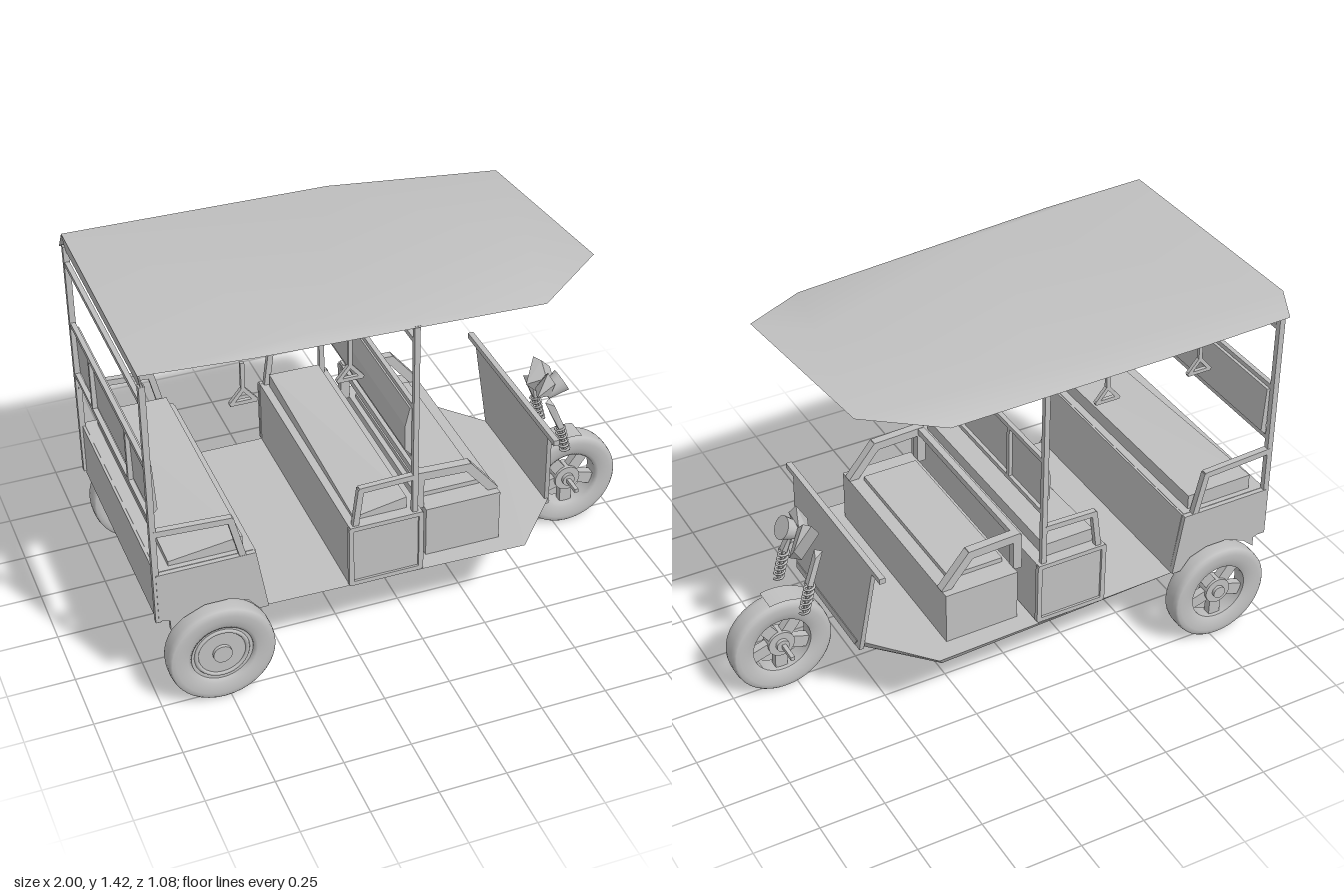
import * as THREE from 'three';
import { ConvexGeometry } from 'three/addons/geometries/ConvexGeometry.js';

const grey = new THREE.MeshStandardMaterial({ color: 0xc0c0c0, side: THREE.DoubleSide });
grey.name = 'plainGrey';
const V = (p) => new THREE.Vector3(...p);

function add(parent, name, geometry, pos = [0, 0, 0]) {
  const m = new THREE.Mesh(geometry, grey);
  m.name = name;
  m.position.set(...pos);
  parent.add(m);
  return m;
}
// box given by its min and max corners
function box(parent, name, a, b) {
  return add(parent, name, new THREE.BoxGeometry(b[0] - a[0], b[1] - a[1], b[2] - a[2]),
    a.map((v, i) => (v + b[i]) / 2));
}
// square bar between two points
function bar(parent, name, a, b, t = 0.02) {
  const A = V(a), B = V(b);
  const m = add(parent, name, new THREE.BoxGeometry(t, t, A.distanceTo(B) + t * 0.5));
  m.position.copy(A).add(B).multiplyScalar(0.5);
  m.lookAt(B);
  return m;
}
function bars(parent, name, pts, t) {
  for (let i = 1; i < pts.length; i++) bar(parent, name, pts[i - 1], pts[i], t);
}
const hull = (parent, name, pts) => add(parent, name, new ConvexGeometry(pts.map(V)));
// flat x-y outline, extruded across z and centred at z
function plate(parent, name, pts, depth, z) {
  const s = new THREE.Shape(pts.map((p) => new THREE.Vector2(...p)));
  return add(parent, name, new THREE.ExtrudeGeometry(s, { depth, bevelEnabled: false }), [0, 0, z - depth / 2]);
}

function wheel(parent, name, x, z, solid, hw) {
  const g = new THREE.Group();
  g.name = name;
  g.position.set(x, 0.2, z);
  g.rotation.x = Math.PI / 2;
  parent.add(g);
  const half = [[0.115, 0.7], [0.128, 0.86], [0.15, 0.97], [0.172, 1], [0.188, 0.95], [0.195, 0.8], [0.198, 0.4]];
  const profile = [...half.map(([r, y]) => [r, -y]), ...half.slice().reverse(), [0.115, -0.7]];
  add(g, 'tyre', new THREE.LatheGeometry(profile.map(([r, y]) => new THREE.Vector2(r, y * hw)), 40));
  const cyl = (n, r, h) => add(g, n, new THREE.CylinderGeometry(r, r, h, 24));
  if (solid) {
    cyl('rimDisc', 0.118, hw * 1.1);
    const ring = add(g, 'rimRing', new THREE.TorusGeometry(0.095, 0.008, 6, 32), [0, hw * 0.55, 0]);
    ring.rotation.x = Math.PI / 2;
    cyl('hub', 0.035, hw * 1.7);
  } else {
    cyl('hub', 0.052, hw * 1.2);
    cyl('hubCap', 0.025, hw * 1.8);
    for (let i = 0; i < 5; i++) {
      const a = (i * Math.PI * 2) / 5 + 0.3;
      const s = add(g, 'spoke', new THREE.BoxGeometry(0.08, hw * 0.7, 0.048), [Math.cos(a) * 0.078, 0, Math.sin(a) * 0.078]);
      s.rotation.y = -a;
    }
  }
}

export function createModel() {
  const g = new THREE.Group();
  g.name = 'threeWheeledPassengerCart';

  // Wheels and axles
  wheel(g, 'rearWheel', -0.775, 0.497, true, 0.043);
  wheel(g, 'rearWheel', -0.775, -0.497, false, 0.043);
  wheel(g, 'frontWheel', 0.802, 0.008, false, 0.047);
  bar(g, 'rearAxle', [-0.775, 0.205, -0.48], [-0.775, 0.208, 0.48], 0.024);
  bar(g, 'frontAxle', [0.8, 0.2, -0.11], [0.8, 0.2, 0.12], 0.016);

  // Roof: one thin folded sheet, sloping to the front with a lip on the far side and rear
  const roof = new THREE.BufferGeometry();
  roof.setAttribute('position', new THREE.Float32BufferAttribute([
    [-1, 1.41, 0.5], [-0.6, 1.39, 0.508], [0.45, 1.338, 0.475], [0.71, 1.38, 0.3], [0.645, 1.378, -0.39],
    [0.36, 1.328, -0.522], [-0.6, 1.333, -0.512], [-1, 1.34, -0.505],
    [-1, 1.42, -0.45], [0, 1.405, -0.46], [0.53, 1.388, 0.15], [-0.35, 1.402, 0.44],
  ].flat(), 3));
  roof.setIndex([
    0, 1, 11, 1, 2, 11, 2, 10, 11, 2, 3, 10, 3, 4, 10, 4, 9, 10, 4, 5, 9,
    5, 6, 9, 6, 8, 9, 6, 7, 8, 8, 0, 11, 8, 11, 9, 9, 11, 10,
  ]);
  roof.computeVertexNormals();
  add(g, 'roof', roof);
  hull(g, 'roofRearLip', [[-1, 1.41, 0.5], [-1, 1.42, -0.45], [-0.992, 1.405, 0.49], [-0.992, 1.41, -0.45],
    [-0.975, 1.34, 0.48], [-0.975, 1.34, -0.48], [-0.985, 1.335, -0.48], [-0.985, 1.335, 0.48]]);

  // Floor pan
  hull(g, 'floor', [
    [-0.61, 0.33, -0.48], [-0.61, 0.33, 0.48], [0.4, 0.325, 0.5], [0.4, 0.32, -0.5], [0.61, 0.32, 0.26], [0.61, 0.32, -0.26],
    [-0.57, 0.305, -0.45], [-0.57, 0.305, 0.45], [0.3, 0.29, 0.36], [0.38, 0.287, -0.48], [0.61, 0.29, 0.24], [0.61, 0.287, -0.24],
  ]);

  // Cross frames behind each bench
  for (const [x, top] of [[-0.985, 1.285], [-0.03, 1.3]]) {
    for (const y of [top, 1.03, 0.81]) bar(g, 'crossRail', [x, y, -0.475], [x, y, 0.475], 0.018);
    for (const z of [-0.23, 0.23]) bar(g, 'backUpright', [x, 0.81, z], [x, 1.03, z], 0.018);
  }
  hull(g, 'rearBackrest', [
    [-0.98, 1.02, -0.46], [-0.98, 1.02, 0.46], [-0.965, 1.02, -0.46], [-0.965, 1.02, 0.46],
    [-0.975, 0.82, -0.46], [-0.975, 0.82, 0.46], [-0.955, 0.84, -0.46], [-0.955, 0.84, 0.46],
  ]);
  hull(g, 'middleBackrest', [
    [-0.035, 1.02, -0.46], [-0.035, 1.02, 0.46], [-0.045, 1.02, -0.46], [-0.045, 1.02, 0.46],
    [-0.062, 0.95, -0.46], [-0.062, 0.95, 0.46], [-0.062, 0.85, -0.46], [-0.062, 0.85, 0.46],
    [-0.035, 0.82, -0.46], [-0.035, 0.82, 0.46],
  ]);

  for (const s of [-1, 1]) {
    const z = 0.475 * s;
    // Roof posts
    bar(g, 'rearPost', [-0.985, 0.38, z], [-0.985, 1.35, z], 0.022);
    bar(g, 'middlePost', [-0.03, 0.33, z], [-0.03, 1.36, z], 0.02);

    // Hanging grab handles
    for (const x of [-0.645, -0.27]) {
      bar(g, 'handleStrap', [x, 1.265, z], [x, 1.36, z], 0.014);
      bars(g, 'handleLoop', [[x, 1.262, z], [x - 0.043, 1.21, z], [x + 0.043, 1.21, z], [x, 1.262, z]], 0.014);
    }

    // Rear side panel cut around the wheel
    const side = [[-0.985, 0.58], [-0.625, 0.58], [-0.585, 0.33], [-0.62, 0.33], [-0.66, 0.38], [-0.73, 0.405],
      [-0.82, 0.405], [-0.9, 0.37], [-0.945, 0.33], [-0.945, 0.37], [-0.985, 0.385]];
    plate(g, 'rearSidePanel', side, 0.02, 0.478 * s);
    bars(g, 'rearArmrest', [[-0.98, 0.755, z], [-0.71, 0.74, z], [-0.672, 0.58, z]], 0.024);

    // Middle bench side frame and armrest
    const f = 0.486 * s;
    bars(g, 'boxSideFrame', [[-0.275, 0.34, f], [-0.275, 0.58, f], [-0.01, 0.58, f], [-0.01, 0.34, f], [-0.275, 0.34, f]], 0.018);
    bars(g, 'middleArmrest', [[-0.255, 0.59, z], [-0.235, 0.735, z], [-0.04, 0.74, z]], 0.022);

    // Driver armrest
    const d = 0.375 * s;
    bars(g, 'driverArmrest', [[0.025, 0.53, d], [0.025, 0.66, d], [0.215, 0.652, d], [0.315, 0.53, d]], 0.034);
  }

  // Bench cushion, dipping at one rear corner
  const cushion = (name, x0, x1) => hull(g, name, [
    [x0, 0.58, -0.45], [x1, 0.58, -0.45], [x0, 0.58, 0.45], [x1, 0.58, 0.45],
    [x0, 0.642, -0.45], [x1, 0.64, -0.45], [x0, 0.6, 0.45], [x1, 0.635, 0.45]]);

  // Rear bench
  box(g, 'rearPanel', [-0.985, 0.36, -0.47], [-0.97, 0.58, 0.47]);
  hull(g, 'rearBenchFront', [-0.47, 0.47].flatMap((z) =>
    [[-0.64, 0.58, z], [-0.622, 0.58, z], [-0.585, 0.33, z], [-0.603, 0.33, z]]));
  box(g, 'rearBenchDeck', [-0.975, 0.565, -0.47], [-0.63, 0.582, 0.47]);
  cushion('rearCushion', -0.93, -0.66);

  // Middle bench, facing the rear
  box(g, 'middleBenchBox', [-0.28, 0.33, -0.486], [-0.005, 0.588, 0.486]);
  cushion('middleCushion', -0.25, -0.05);

  // Driver seat
  box(g, 'driverSeatBox', [0.04, 0.32, -0.42], [0.33, 0.53, 0.42]);
  box(g, 'driverCushion', [0.06, 0.53, -0.34], [0.28, 0.548, 0.34]);
  bar(g, 'driverBackRail', [0.025, 0.662, -0.385], [0.025, 0.662, 0.385], 0.026);

  // Sloping front shield
  hull(g, 'frontShield', [
    [0.555, 0.675, -0.33], [0.555, 0.675, 0.33], [0.572, 0.675, -0.33], [0.572, 0.675, 0.33],
    [0.592, 0.29, -0.28], [0.592, 0.29, 0.26], [0.61, 0.29, -0.28], [0.61, 0.29, 0.26],
  ]);
  bar(g, 'shieldTopRail', [0.562, 0.668, -0.385], [0.562, 0.668, 0.385], 0.022);

  // Front fork: upper tubes with coil springs
  for (const s of [-1, 1]) {
    const z = 0.112 * s;
    hull(g, 'forkTube', [[0.655, 0.635, z - 0.012 * s], [0.68, 0.64, z - 0.03 * s], [0.69, 0.62, z],
      [0.71, 0.51, z - 0.012], [0.71, 0.51, z + 0.012], [0.73, 0.52, z - 0.012], [0.73, 0.52, z + 0.012]]);
    const coil = [];
    for (let i = 0; i <= 60; i++) {
      const t = i / 60, a = t * Math.PI * 12;
      coil.push(new THREE.Vector3(0.715 + 0.03 * t + 0.018 * Math.cos(a), 0.52 - 0.12 * t, z + 0.018 * Math.sin(a)));
    }
    add(g, 'spring', new THREE.TubeGeometry(new THREE.CatmullRomCurve3(coil), 150, 0.005, 5));
    bar(g, 'springRod', [0.715, 0.52, z], [0.745, 0.4, z], 0.01);
  }

  // Fender crown over the front wheel
  const fender = new THREE.CylinderGeometry(0.21, 0.21, 0.09, 12, 1, true, Math.PI * 0.93, Math.PI * 0.28);
  add(g, 'frontFender', fender, [0.8, 0.2, 0.008]).rotation.x = Math.PI / 2;

  // Headlamp: round barrel and angular shroud
  const lamp = add(g, 'headlamp', new THREE.CylinderGeometry(0.045, 0.03, 0.08, 16), [0.715, 0.66, 0.04]);
  lamp.rotation.z = -1.05;
  hull(g, 'lampShroud', [[0.63, 0.65, -0.02], [0.68, 0.735, -0.07], [0.7, 0.73, -0.04], [0.76, 0.66, -0.085],
    [0.765, 0.61, -0.05], [0.71, 0.57, -0.035], [0.7, 0.68, 0.01]]);
  hull(g, 'lampMount', [[0.63, 0.65, 0.08], [0.68, 0.74, 0.06], [0.7, 0.7, 0.085], [0.69, 0.64, 0.07], [0.66, 0.64, 0], [0.7, 0.69, 0]]);
  return g;
}
